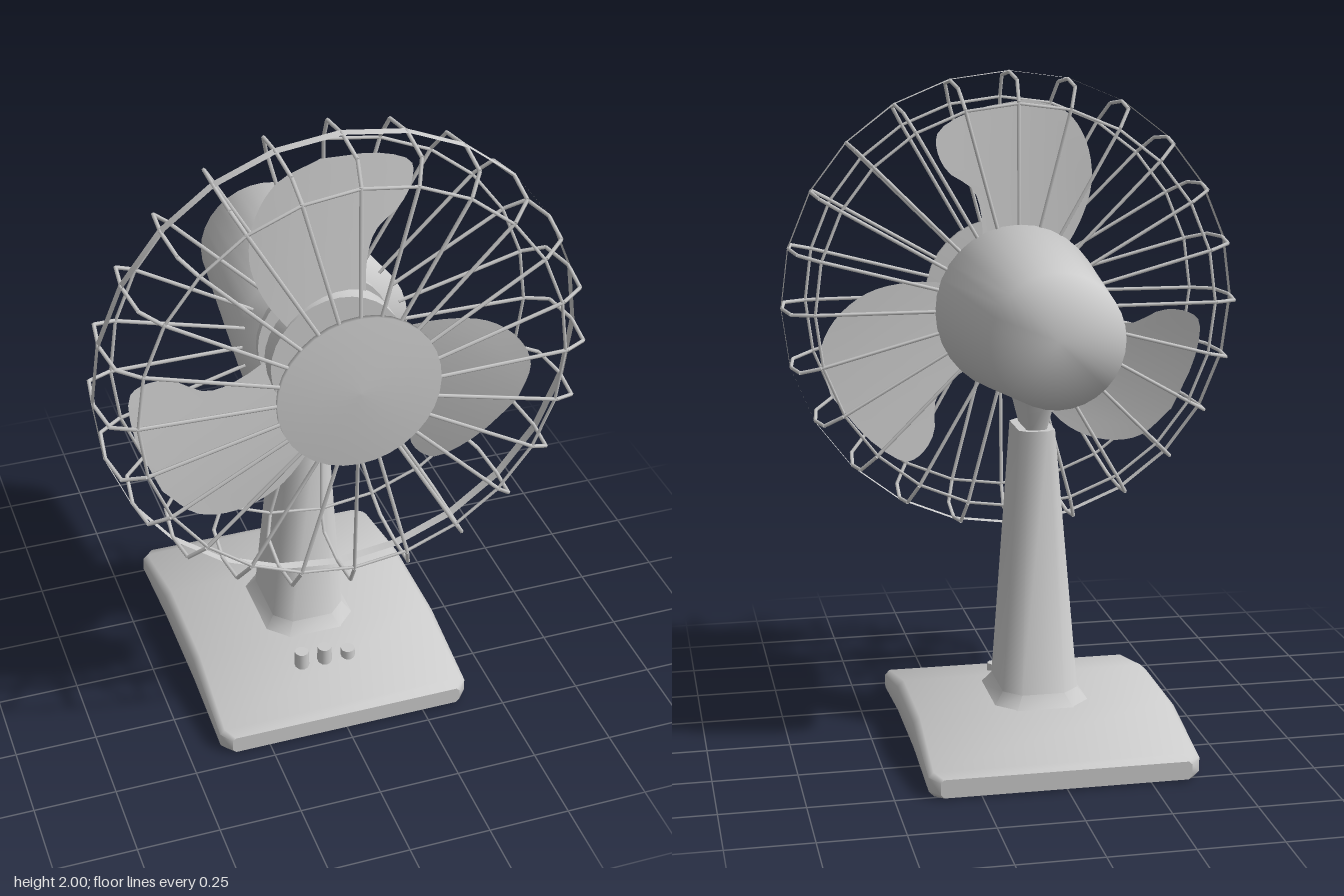
import * as THREE from 'three';
import { mergeGeometries, toCreasedNormals } from 'three/addons/utils/BufferGeometryUtils.js';

const CY = 1.285; // height of the fan axis
const grey = new THREE.MeshStandardMaterial({ color: 0xcccccc });
const greyThin = new THREE.MeshStandardMaterial({ color: 0xcccccc, side: THREE.DoubleSide });

function mesh(name, geometry, material = grey) {
  const m = new THREE.Mesh(geometry, material);
  m.name = name;
  return m;
}

// Solid of revolution round the z axis; profile holds [radius, z] from back to front
function turned(profile, segments = 32) {
  const g = new THREE.LatheGeometry(profile.map(([r, z]) => new THREE.Vector2(r, z)), segments);
  return g.rotateX(Math.PI / 2);
}

// Rectangle with cut corners, counter-clockwise
function cutRect(u0, u1, v0, v1, c) {
  return [[u0 + c, v0], [u1 - c, v0], [u1, v0 + c], [u1, v1 - c],
    [u1 - c, v1], [u0 + c, v1], [u0, v1 - c], [u0, v0 + c]];
}

// Closed skin over rings of equal point count
function loft(rings, crease) {
  const n = rings[0].length, pos = [], index = [];
  rings.forEach(ring => ring.forEach(p => pos.push(...p)));
  for (let r = 0; r < rings.length - 1; r++) {
    for (let i = 0; i < n; i++) {
      const a = r * n + i, b = r * n + (i + 1) % n;
      index.push(a, b, b + n, a, b + n, a + n);
    }
  }
  const last = (rings.length - 1) * n;
  for (let i = 1; i < n - 1; i++) {
    index.push(0, i + 1, i);
    index.push(last, last + i, last + i + 1);
  }
  const g = new THREE.BufferGeometry();
  g.setAttribute('position', new THREE.Float32BufferAttribute(pos, 3));
  g.setIndex(index);
  return toCreasedNormals(g, crease);
}

// Upright loft from [y, half width, back z, front z, corner cut]
const upright = sections => loft(sections.map(([y, w, z0, z1, c]) =>
  cutRect(z0, z1, -w, w, c).map(([z, x]) => [x, y, z])), 0.85);

// Straight wire between two points
function wire(a, b, radius) {
  const d = b.clone().sub(a);
  const g = new THREE.CylinderGeometry(radius, radius, d.length(), 5);
  g.applyQuaternion(new THREE.Quaternion().setFromUnitVectors(new THREE.Vector3(0, 1, 0), d.normalize()));
  return g.translate((a.x + b.x) / 2, (a.y + b.y) / 2, (a.z + b.z) / 2);
}

function bladeGeometry() {
  const curve = pts => new THREE.CatmullRomCurve3(pts.map(([x, y]) => new THREE.Vector3(x, y, 0)));
  const left = curve([[-0.13, 0.1], [-0.22, 0.24], [-0.26, 0.37], [-0.24, 0.5], [-0.175, 0.59], [-0.05, 0.63]]);
  const right = curve([[0.1, 0.12], [0.1, 0.275], [0.127, 0.36], [0.21, 0.42],
    [0.243, 0.487], [0.238, 0.54], [0.127, 0.6], [-0.05, 0.63]]);
  const g = new THREE.PlaneGeometry(1, 1, 8, 20);
  const p = g.attributes.position;
  for (let i = 0; i < p.count; i++) {
    const v = p.getY(i) + 0.5;
    const q = left.getPoint(v).lerp(right.getPoint(v), p.getX(i) + 0.5);
    // pitch: the clockwise edge sweeps backwards
    const t = Math.max(0, (q.x + 0.26) / 0.5);
    p.setXYZ(i, q.x, q.y, 0.335 - 0.095 * Math.pow(t, 1.5));
  }
  g.computeVertexNormals();
  return g;
}

export function createModel() {
  const model = new THREE.Group();
  model.name = 'deskFan';

  // Base: sloping front and back, slightly arched underneath; [z, half width, bottom, top, cut]
  const baseSections = [
    [-0.525, 0.37, 0.005, 0.06, 0.01], [-0.49, 0.4, 0, 0.072, 0.015],
    [-0.2, 0.4, 0.02, 0.135, 0.02], [0.13, 0.4, 0.02, 0.135, 0.02],
    [0.42, 0.4, 0, 0.072, 0.015], [0.455, 0.37, 0.005, 0.06, 0.01],
  ];
  model.add(mesh('base', loft(baseSections.map(([z, w, y0, y1, c]) =>
    cutRect(-w, w, y0, y1, c).map(([x, y]) => [x, y, z])), 0.85)));

  // Column with flared foot, and the neck under the motor
  model.add(mesh('column', upright([
    [0.125, 0.15, -0.215, 0.145, 0.06], [0.17, 0.115, -0.178, 0.11, 0.05], [0.965, 0.055, -0.105, 0.092, 0.025],
  ])));
  model.add(mesh('neck', upright([[0.96, 0.03, -0.085, 0.06, 0.01], [1.1, 0.06, -0.13, 0.11, 0.02]])));

  // Speed buttons, one pressed down
  [[-0.08, 0.16], [-0.005, 0.16], [0.072, 0.135]].forEach(([x, top]) => {
    const b = mesh('button', new THREE.CylinderGeometry(0.022, 0.024, top - 0.09, 10));
    b.position.set(x, (top + 0.09) / 2, 0.245);
    model.add(b);
  });

  // Everything on the fan axis
  const head = new THREE.Group();
  head.name = 'head';
  head.position.y = CY;
  model.add(head);

  head.add(mesh('motorHousing', turned([[0, -0.38], [0.197, -0.38], [0.26, 0.19], [0, 0.19]])));
  head.add(mesh('motorPlate', toCreasedNormals(turned([[0.2, 0.185], [0.2, 0.21], [0, 0.21]]), 0.6)));
  head.add(mesh('shaft', turned([[0.042, 0.2], [0.042, 0.28]], 16)));

  // Rotor
  const rotor = new THREE.Group();
  rotor.name = 'rotor';
  rotor.add(mesh('hub', toCreasedNormals(turned([[0, 0.27], [0.2, 0.27], [0.2, 0.33], [0, 0.33]]), 0.6)));
  const blade = bladeGeometry();
  for (let i = 0; i < 3; i++) {
    const b = mesh('blade', blade, greyThin);
    b.rotation.z = i * Math.PI * 2 / 3;
    rotor.add(b);
  }
  head.add(rotor);

  // Guard: 24 bent wires, rim band, two thin hoops and a front disc
  const path = [[0.22, 0.507], [0.63, 0.493], [0.695, 0.46], [0.712, 0.34], [0.695, 0.22], [0.63, 0.192], [0.24, 0.188]];
  const wires = [];
  for (let i = 0; i < 24; i++) {
    const a = i * Math.PI / 12;
    const pts = path.map(([r, z]) => new THREE.Vector3(r * Math.cos(a), r * Math.sin(a), z));
    for (let k = 1; k < pts.length; k++) wires.push(wire(pts[k - 1], pts[k], 0.006));
  }
  const guard = new THREE.Group();
  guard.name = 'guard';
  guard.add(mesh('guardWires', mergeGeometries(wires)));
  guard.add(mesh('rimBand', turned([[0.715, 0.325], [0.715, 0.355]], 24), greyThin));
  [0.192, 0.493].forEach(z => {
    const hoop = mesh('hoop', new THREE.TorusGeometry(0.625, 0.005, 5, 24));
    hoop.position.z = z;
    guard.add(hoop);
  });
  guard.add(mesh('frontDisc', turned([[0, 0.5], [0.24, 0.5], [0.24, 0.515], [0, 0.522]])));
  head.add(guard);

  return model;
}
